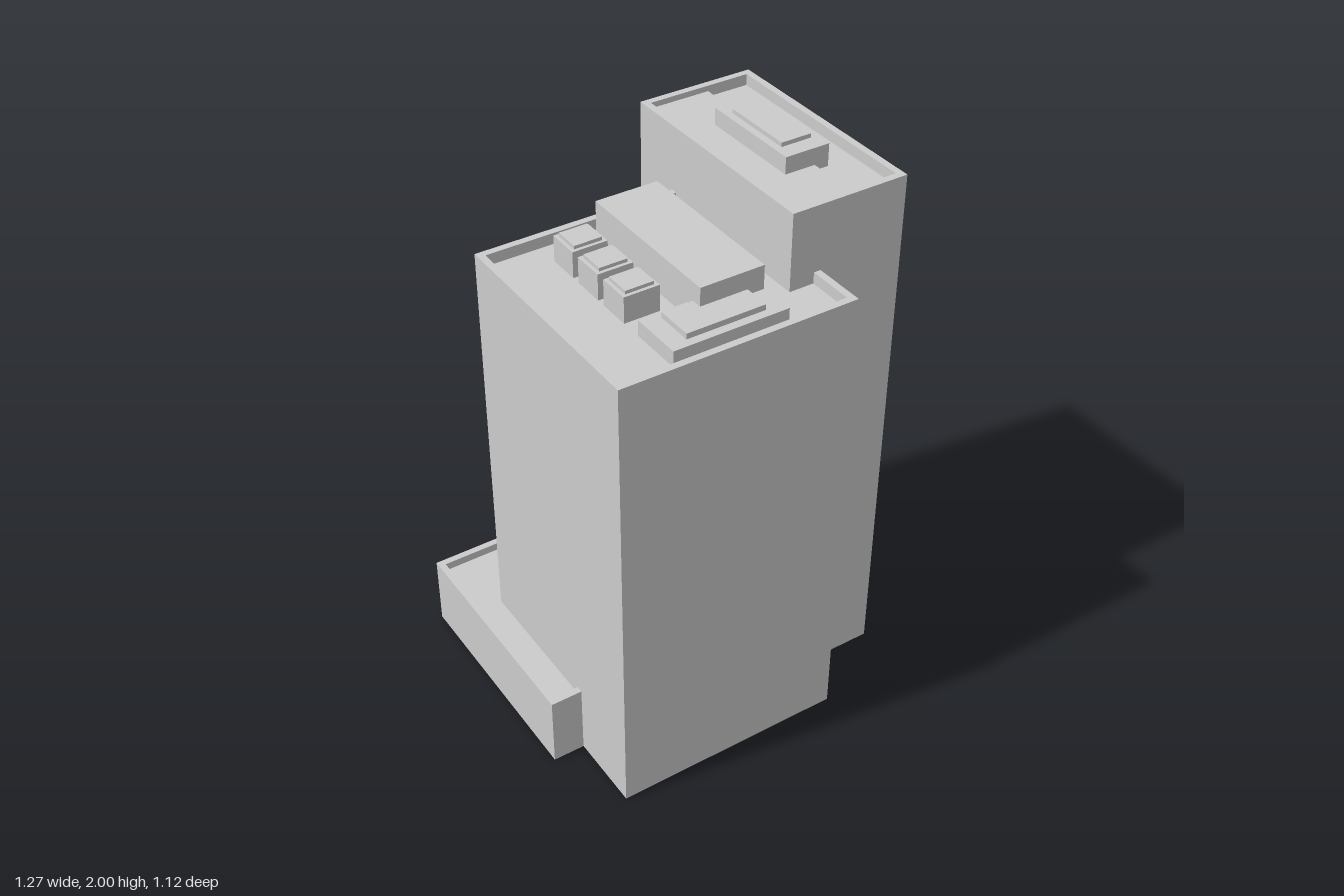
import * as THREE from 'three';

const material = new THREE.MeshStandardMaterial({ color: 0xcccccc, flatShading: true });

// Box given by its extents on each axis
function block(name, x0, x1, y0, y1, z0, z1) {
  const geo = new THREE.BoxGeometry(x1 - x0, y1 - y0, z1 - z0);
  geo.translate((x0 + x1) / 2, (y0 + y1) / 2, (z0 + z1) / 2);
  const mesh = new THREE.Mesh(geo, material);
  mesh.name = name;
  return mesh;
}

// Counter-clockwise rectangle; shape y becomes -z once laid flat
function rectangle(Type, x0, x1, z0, z1) {
  return new Type([
    new THREE.Vector2(x0, -z1), new THREE.Vector2(x1, -z1),
    new THREE.Vector2(x1, -z0), new THREE.Vector2(x0, -z0),
  ]);
}

// Solid volume with a sunken roof behind a thin parapet
function building(name, x0, x1, z0, z1, height, sunk) {
  const wall = 0.025;
  const group = new THREE.Group();
  group.name = name;
  const ring = rectangle(THREE.Shape, x0, x1, z0, z1);
  ring.holes.push(rectangle(THREE.Path, x0 + wall, x1 - wall, z0 + wall, z1 - wall));
  const geo = new THREE.ExtrudeGeometry(ring, { depth: sunk, bevelEnabled: false });
  geo.rotateX(-Math.PI / 2);
  geo.translate(0, height - sunk, 0);
  const parapet = new THREE.Mesh(geo, material);
  parapet.name = name + 'Parapet';
  group.add(block(name + 'Body', x0, x1, 0, height - sunk, z0, z1), parapet);
  return group;
}

export function createModel() {
  const model = new THREE.Group();
  model.name = 'officeTowers';

  // Low rear podium
  model.add(building('podium', -0.64, 0.205, -0.565, 0.28, 0.27, 0.03));

  // Main tower and its rooftop equipment
  const main = building('mainTower', -0.525, 0.32, -0.285, 0.56, 1.71, 0.04);
  const mainRoof = 1.67;
  main.add(
    block('plantRoom', -0.13, 0.1, mainRoof, 1.81, -0.21, 0.38),
    block('frontRoofSlab', -0.305, 0.105, mainRoof, 1.725, 0.315, 0.505),
    block('frontRoofCap', -0.24, 0.04, 1.725, 1.745, 0.342, 0.475),
  );
  for (let i = 0; i < 3; i++) {
    const z = -0.113 + i * 0.148;
    main.add(
      block('coolingUnit', -0.307, -0.181, mainRoof, 1.763, z - 0.058, z + 0.058),
      block('coolingUnitCap', -0.294, -0.194, 1.763, 1.775, z - 0.046, z + 0.046),
    );
  }
  model.add(main);

  // Taller side tower with a raised half roof and stepped penthouse
  const tall = building('tallTower', 0.205, 0.635, -0.475, 0.37, 1.945, 0.04);
  tall.add(
    block('raisedRoof', 0.23, 0.455, 1.905, 1.925, -0.45, 0.328),
    block('penthouse', 0.343, 0.508, 1.905, 1.985, -0.245, 0.14),
    block('penthouseCap', 0.369, 0.482, 1.985, 2.0, -0.185, 0.08),
  );
  model.add(tall);

  return model;
}
